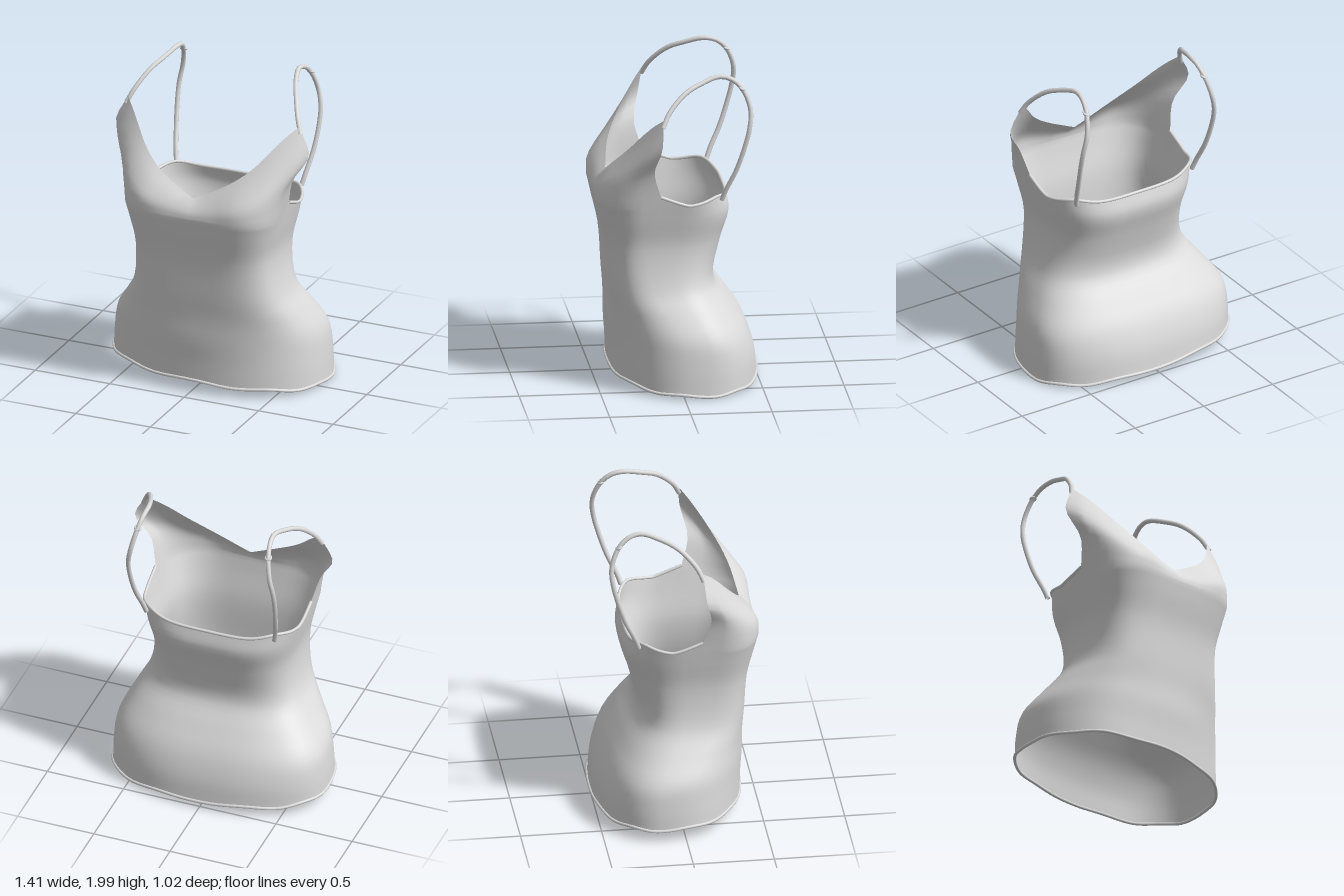
import * as THREE from 'three';

const V = (x, y, z) => new THREE.Vector3(x, y, z);
const { smoothstep } = THREE.MathUtils;
const COLS = 56, ROWS = 28, UP = 10, CX = 0.025;
const LAST = COLS / 2, MID = COLS / 4; // front top panel spans columns 0 to LAST

// Body sections from hem to bust: y, half width, front z, back z, centre x
const sections = [
  [0.05, 0.693, 0.405, -0.505, 0.003], [0.2, 0.685, 0.41, -0.485, 0.003], [0.35, 0.662, 0.42, -0.43, 0.005],
  [0.5, 0.575, 0.42, -0.33, 0.02], [0.65, 0.49, 0.43, -0.235, 0.03], [0.9, 0.455, 0.447, -0.28, CX],
  [1.08, 0.485, 0.49, -0.33, CX], [1.19, 0.51, 0.518, -0.305, CX],
];
const widthCurve = new THREE.CatmullRomCurve3(sections.map(s => V(s[1], s[0], s[4])));
const depthCurve = new THREE.CatmullRomCurve3(sections.map(s => V(s[2], s[0], s[3])));

// Rounded-box section; angle 0 is the left side, 90 degrees is the front
function bodyPoint(col, t) {
  const a = (col / COLS) * Math.PI * 2, c = Math.cos(a), s = Math.sin(a);
  const w = widthCurve.getPoint(t), d = depthCurve.getPoint(t);
  const zc = -0.09 + 0.22 * smoothstep(t, 0.2, 0.7); // widest point moves forward
  const n = s > 0 ? 2.25 + 1.25 * smoothstep(t, 0.25, 0.75) : 2.4 + t;
  const px = Math.sign(c) * Math.abs(c) ** (2 / n), pz = Math.abs(s) ** (2 / n);
  const hem = (1 - t) ** 6 * (-0.03 * c + 0.03 * Math.max(s, 0) + 0.006 * Math.sin(9 * a));
  // Rim lifts at the armhole corners and at the back strap corners
  const rise = t ** 8 * (0.065 * Math.abs(c) ** 200 + (s < 0 ? 0.03 * Math.sin(2 * a) ** 4 : 0));
  const dip = 0.018 * t ** 4 * Math.max(0, s) ** 30; // hollow between the busts
  return V(w.z + w.x * px, w.y + hem + rise, zc + pz * (s > 0 ? d.x - zc : d.z - zc) - dip);
}

// Half of the V neckline, from the centre out to the strap
const neckline = new THREE.CatmullRomCurve3([
  V(0, 1.3, 0.415), V(0.19, 1.4, 0.385), V(0.3, 1.475, 0.345), V(0.38, 1.55, 0.295),
  V(0.45, 1.635, 0.235), V(0.515, 1.71, 0.175), V(0.575, 1.765, 0.12),
]);

// Column of the top panel, rising from the bust line to the neckline
function panelColumn(col) {
  const side = col <= MID ? 1 : -1, u = Math.abs(col - MID) / MID;
  const base = bodyPoint(col, 1), top = neckline.getPoint(u);
  top.x = CX + side * top.x;
  const swell = 0.02 + 0.028 * smoothstep(u, 0, 0.35);
  const m1 = base.clone().lerp(top, 1 / 3).add(V(side * 0.025 * u * u, 0, swell));
  const m2 = base.clone().lerp(top, 2 / 3).add(V(side * 0.095 * u ** 3, 0, swell * (1 - 0.7 * u)));
  return new THREE.CatmullRomCurve3([base, m1, m2, top]);
}

// Body and top panel share vertices at the bust line so shading flows through
function garmentGeometry() {
  const pos = [], index = [];
  const quad = (a, b, c, d) => index.push(a, c, b, b, c, d);
  for (let r = 0; r <= ROWS; r++)
    for (let c = 0; c < COLS; c++) pos.push(...bodyPoint(c, r / ROWS).toArray());
  for (let r = 0; r < ROWS; r++)
    for (let c = 0; c < COLS; c++) {
      const n = (c + 1) % COLS;
      quad(r * COLS + c, r * COLS + n, (r + 1) * COLS + c, (r + 1) * COLS + n);
    }
  const start = pos.length / 3;
  for (let c = 0; c <= LAST; c++) {
    const curve = panelColumn(c);
    for (let k = 1; k <= UP; k++) pos.push(...curve.getPoint(k / UP).toArray());
  }
  const id = (c, k) => (k === 0 ? ROWS * COLS + c : start + c * UP + k - 1);
  for (let c = 0; c < LAST; c++)
    for (let k = 0; k < UP; k++) quad(id(c, k), id(c + 1, k), id(c, k + 1), id(c + 1, k + 1));
  const g = new THREE.BufferGeometry();
  g.setAttribute('position', new THREE.Float32BufferAttribute(pos, 3));
  g.setIndex(index);
  g.computeVertexNormals();
  return g;
}

export function createModel() {
  const group = new THREE.Group();
  const fabric = new THREE.MeshStandardMaterial({ color: 0xdcdcdc, side: THREE.DoubleSide });
  fabric.name = 'light grey fabric';
  const add = (name, geometry) => {
    const m = new THREE.Mesh(geometry, fabric);
    m.name = name;
    group.add(m);
    return m;
  };
  const cord = (name, points, radius, closed = false) => add(name, new THREE.TubeGeometry(
    new THREE.CatmullRomCurve3(points, closed), points.length * 3, radius, 8, closed));

  add('bodice', garmentGeometry());

  // Rolled hem
  cord('hem', Array.from({ length: COLS }, (_, c) => bodyPoint(c, 0)), 0.01, true);

  // Piping along the back and under the arms
  const rim = [];
  for (let c = LAST; c <= COLS; c++) rim.push(bodyPoint(c, 1));
  cord('backPiping', rim, 0.01);

  // Shoulder straps with their sliders
  const strap = [
    [0.585, 1.72, 0.125], [0.55, 1.8, 0.085], [0.49, 1.905, -0.02], [0.44, 1.955, -0.13],
    [0.41, 1.985, -0.24], [0.415, 1.965, -0.32], [0.43, 1.9, -0.385], [0.455, 1.78, -0.428],
    [0.475, 1.67, -0.42], [0.475, 1.55, -0.39], [0.46, 1.4, -0.34], [0.435, 1.27, -0.28], [0.42, 1.2, -0.255],
  ];
  for (const [side, label] of [[1, 'left'], [-1, 'right']]) {
    cord(label + 'Strap', strap.map(p => V(CX + side * p[0], p[1], p[2])), 0.015);
    const slider = add(label + 'StrapSlider', new THREE.TorusGeometry(0.017, 0.007, 8, 16));
    slider.position.set(CX + side * 0.428, 1.91, -0.378);
    slider.rotation.x = Math.PI / 2 - 0.45;
  }
  return group;
}
